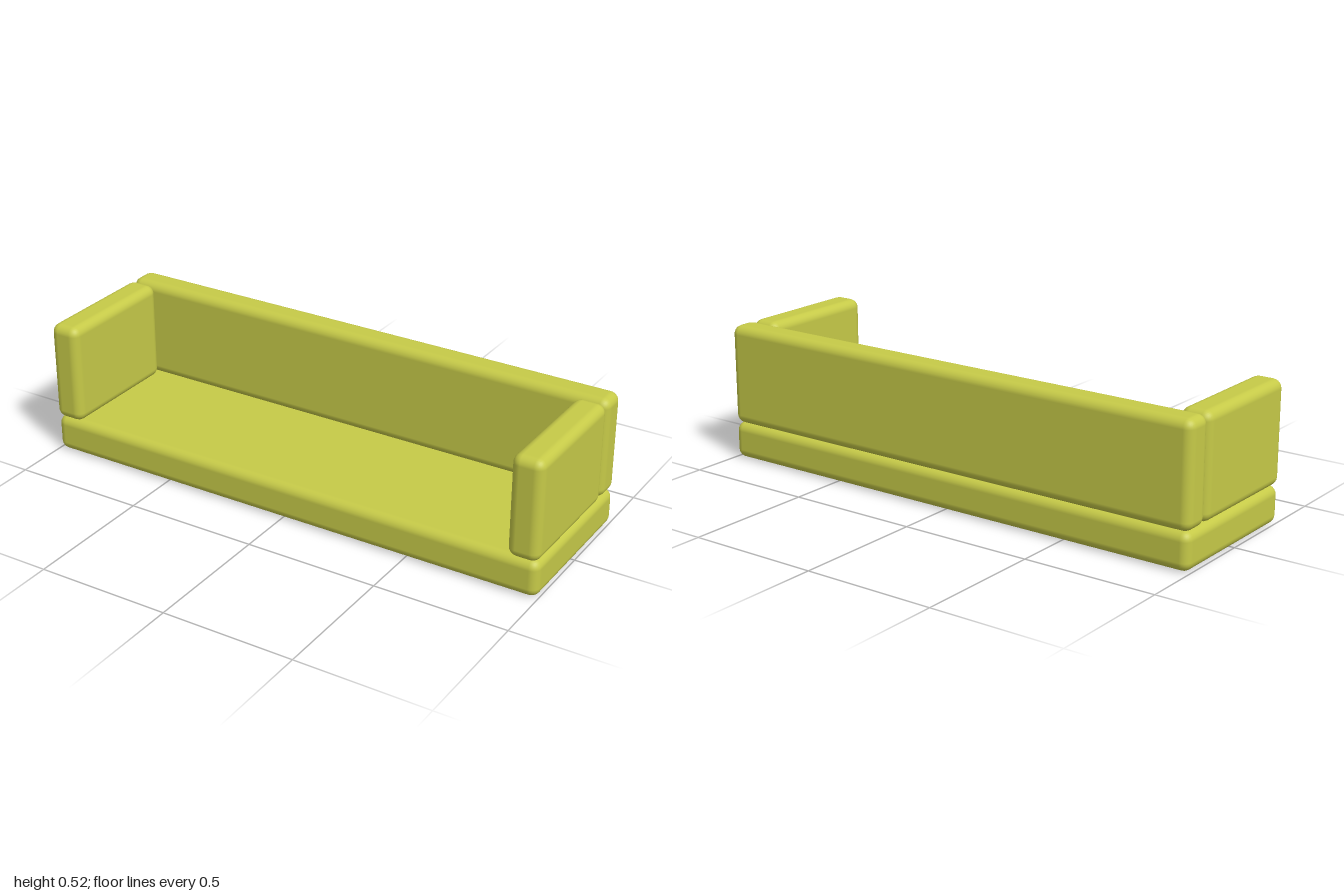
import * as THREE from 'three';
import { RoundedBoxGeometry } from 'three/addons/geometries/RoundedBoxGeometry.js';

const fabric = new THREE.MeshStandardMaterial({ color: 0xc6ca48 });

// Soft-edged block given by its lower and upper corner
function cushion(name, min, max) {
  const [w, h, d] = max.map((v, i) => v - min[i]);
  const mesh = new THREE.Mesh(new RoundedBoxGeometry(w, h, d, 3, 0.034), fabric);
  mesh.name = name;
  mesh.position.set(min[0] + w / 2, min[1] + h / 2, min[2] + d / 2);
  return mesh;
}

export function createModel() {
  const sofa = new THREE.Group();
  sofa.name = 'sofa';

  // Full-width seat slab and backrest
  sofa.add(cushion('seat', [-1, 0, -0.305], [1, 0.14, 0.3]));
  sofa.add(cushion('backrest', [-1, 0.137, -0.305], [1, 0.518, -0.193]));

  // Armrests, standing on the seat in front of the backrest
  sofa.add(cushion('leftArmrest', [0.882, 0.137, -0.195], [1, 0.518, 0.305]));
  sofa.add(cushion('rightArmrest', [-1, 0.137, -0.195], [-0.882, 0.518, 0.305]));

  return sofa;
}
